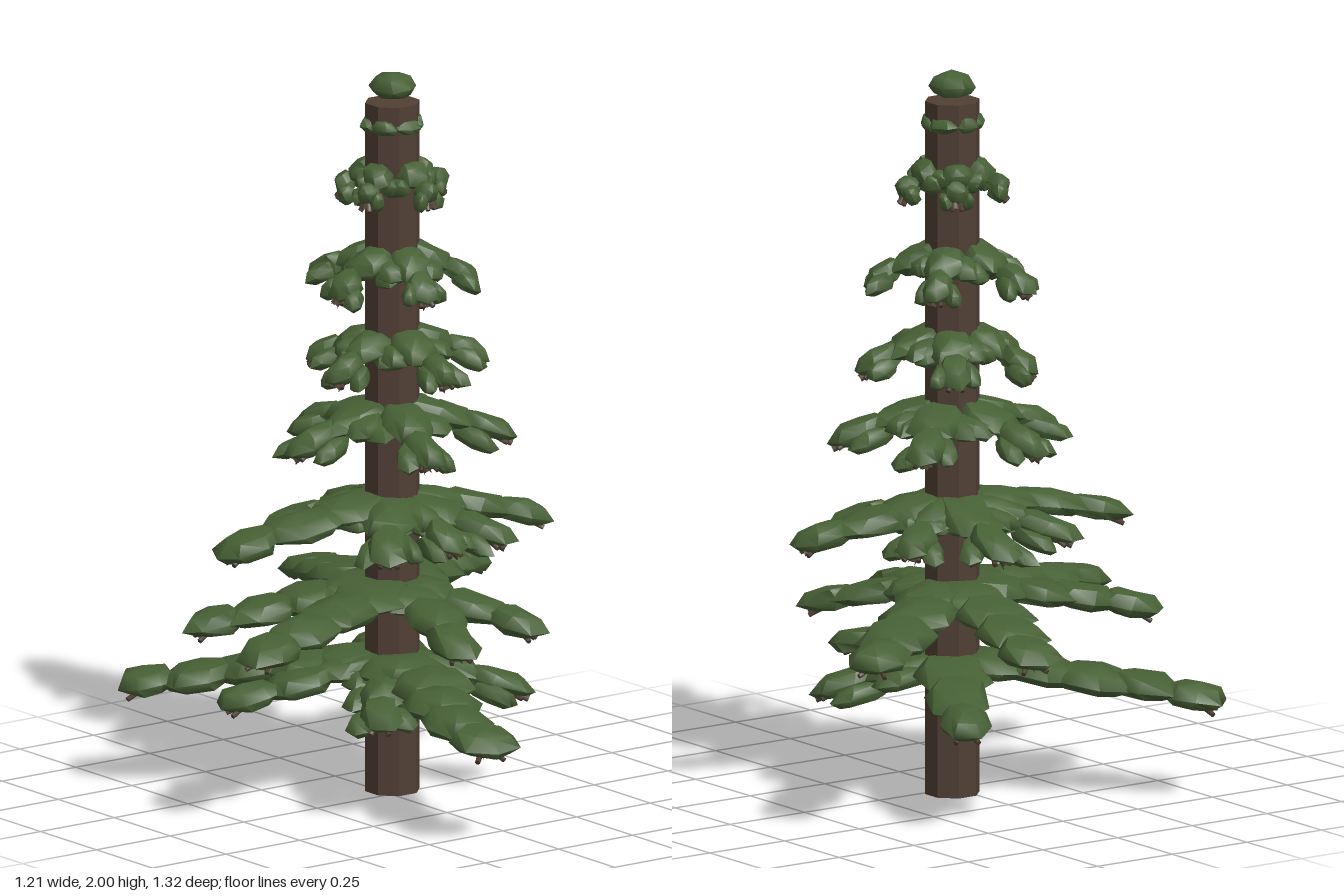
import * as THREE from 'three';
import { toCreasedNormals } from 'three/addons/utils/BufferGeometryUtils.js';

const CX = 0.035, CZ = -0.04; // trunk axis

// Seeded random numbers
function makeRandom(seed) {
  return () => {
    seed = (seed * 16807) % 2147483647;
    return seed / 2147483647;
  };
}

// Faceted clump of needles, unit size, flared towards +z, irregular by a hash of each vertex
function makeClump(seed) {
  const profile = [[0, -0.85], [0.7, -0.7], [1, -0.1], [0.65, 0.65], [0, 0.9]]
    .map(([r, y]) => new THREE.Vector2(r, y));
  const geo = new THREE.LatheGeometry(profile, 7, seed);
  const pos = geo.attributes.position;
  const hash = (x, y, z, k) => {
    const s = Math.sin(Math.round(x * 100) * 1.29 + Math.round(y * 100) * 7.82 +
      Math.round(z * 100) * 3.71 + seed * 9 + k) * 437.58;
    return s - Math.floor(s) - 0.5;
  };
  for (let i = 0; i < pos.count; i++) {
    const x = pos.getX(i), y = pos.getY(i), z = pos.getZ(i);
    pos.setXYZ(i, x * (1 + 0.12 * z) + 0.25 * hash(x, y, z, 1),
      y + 0.2 * hash(x, y, z, 2), z + 0.25 * hash(x, y, z, 3));
  }
  return toCreasedNormals(geo, 0.9);
}

export function createModel() {
  const tree = new THREE.Group();
  tree.name = 'pineTree';
  const bark = new THREE.MeshStandardMaterial({ color: 0x503f34 });
  bark.name = 'bark';
  const needles = new THREE.MeshStandardMaterial({ color: 0x476035 });
  needles.name = 'needles';
  const clumps = [1, 2, 3, 4].map(makeClump);
  const rand = makeRandom(4711);
  const twigGeo = new THREE.CylinderGeometry(0.007, 0.01, 1, 5);

  const addClump = (parent, center, along, w, h, l) => {
    const m = new THREE.Mesh(clumps[Math.floor(rand() * 4)], needles);
    m.name = 'needleClump';
    m.position.copy(center);
    m.lookAt(center.clone().add(along));
    m.rotateY((rand() - 0.5) * 0.4);
    m.scale.set(w, h, l);
    parent.add(m);
  };

  const addTwig = (parent, a, b) => {
    const m = new THREE.Mesh(twigGeo, bark);
    m.name = 'twig';
    const d = b.clone().sub(a);
    m.position.copy(a).addScaledVector(d, 0.5);
    m.scale.y = d.length();
    m.quaternion.setFromUnitVectors(new THREE.Vector3(0, 1, 0), d.normalize());
    parent.add(m);
  };

  // Drooping branch: overlapping clumps over a thin limb
  function addBranch(parent, y, drop, tipX, tipZ) {
    const dx = tipX - CX, dz = tipZ - CZ, len = Math.hypot(dx, dz);
    const dir = new THREE.Vector3(dx / len, 0, dz / len);
    const side = new THREE.Vector3(-dir.z, 0, dir.x);
    const n = Math.max(2, Math.round(len / 0.16));
    const step = (len - 0.06) / n;
    const at = (r) => new THREE.Vector3(CX, y - drop * Math.pow(r / len, 1.3), CZ).addScaledVector(dir, r);
    const branch = new THREE.Group();
    branch.name = 'branch';
    const wide = 0.028 + 0.16 * len;
    for (let i = 0; i < n; i++) {
      const r = 0.06 + step * (i + 0.38);
      const along = at(r + 0.03).sub(at(r - 0.03));
      const w = wide * (1 - 0.32 * i / (n - 1));
      const c = at(r).addScaledVector(side, (rand() - 0.5) * 0.3 * w);
      addClump(branch, c, along, w, 0.034 + 0.01 * len, step * (i === n - 1 ? 0.7 : 0.85));
      for (const s of [-1, 1]) {
        // Short branches carry small side clumps on both flanks
        if (len < 0.42) {
          const flank = c.clone().addScaledVector(side, s * w * 0.8).addScaledVector(dir, (rand() - 0.6) * step * 0.4);
          flank.y -= 0.01 + 0.02 * rand();
          addClump(branch, flank, along.clone().addScaledVector(side, s * 0.03), w * 0.62, 0.03, step * 0.55);
        }
        // Bare twig ends showing below the tip
        if (i === n - 1) {
          const start = c.clone();
          start.y -= 0.012;
          const end = start.clone().addScaledVector(dir, step * 0.4).addScaledVector(side, s * w * 0.4);
          end.y -= 0.034;
          addTwig(branch, start, end);
        }
      }
    }
    const low = (r, down) => at(r).add(new THREE.Vector3(0, -down, 0));
    const curve = new THREE.CatmullRomCurve3([low(0.04, 0.005), low(len * 0.5, 0.005), low(len * 0.95, 0.025)]);
    const limb = new THREE.Mesh(new THREE.TubeGeometry(curve, 5, 0.011, 5), bark);
    limb.name = 'limb';
    branch.add(limb);
    parent.add(branch);
  }

  // Trunk
  const trunkGeo = new THREE.CylinderGeometry(0.076, 0.076, 1.92, 8);
  trunkGeo.rotateY(Math.PI / 8);
  const trunk = new THREE.Mesh(toCreasedNormals(trunkGeo, 0.4), bark);
  trunk.name = 'trunk';
  trunk.position.set(CX, 0.96, CZ);
  tree.add(trunk);

  // Wide lower tiers, with the tip (x, z) of each branch
  const lower = [
    { y: 0.37, drop: 0.095, tips: [[-0.16, 0.66], [-0.51, -0.55], [0.31, -0.51], [0.34, 0.2], [-0.24, 0.27], [-0.44, -0.2]] },
    { y: 0.575, drop: 0.09, tips: [[0.18, -0.65], [0.59, -0.42], [-0.59, 0.13], [-0.49, -0.27], [0.26, 0.34], [-0.07, 0.44]] },
    { y: 0.815, drop: 0.095, tips: [[-0.51, -0.11], [0.48, 0.07], [0.22, 0.25], [-0.2, 0.26], [0.12, -0.42], [0.31, -0.22], [-0.2, -0.3], [0.05, 0.26]] },
  ];
  // Short upper tiers, with branches spread around the trunk
  const upper = [
    { y: 1.078, drop: 0.1, reach: 0.335, turn: 0.63 },
    { y: 1.283, drop: 0.1, reach: 0.26, turn: 0.31 },
    { y: 1.52, drop: 0.11, reach: 0.245, turn: 0.5 },
    { y: 1.77, drop: 0.105, reach: 0.16, turn: 0.2 },
  ];
  for (const t of upper) {
    t.tips = Array.from({ length: 5 }, (_, i) => {
      const a = t.turn + i * Math.PI * 0.4 + (rand() - 0.5) * 0.2;
      const r = t.reach * (0.94 + 0.12 * rand());
      return [CX + Math.cos(a) * r, CZ + Math.sin(a) * r];
    });
  }
  for (const t of [...lower, ...upper]) {
    const tier = new THREE.Group();
    tier.name = 'branchTier';
    for (const [x, z] of t.tips) addBranch(tier, t.y, t.drop, x, z);
    tree.add(tier);
  }

  // Tight ring of buds near the top
  const ring = new THREE.Group();
  ring.name = 'budRing';
  for (let i = 0; i < 6; i++) {
    const a = i * Math.PI / 3 + 0.5;
    const dir = new THREE.Vector3(Math.cos(a), 0, Math.sin(a));
    const c = new THREE.Vector3(CX, 1.86, CZ).addScaledVector(dir, 0.057);
    addClump(ring, c, dir, 0.045, 0.026, 0.032);
  }
  tree.add(ring);

  // Crown
  const crown = new THREE.Mesh(clumps[1], needles);
  crown.name = 'crown';
  crown.position.set(CX, 1.965, CZ);
  crown.scale.set(0.07, 0.038, 0.07);
  tree.add(crown);

  return tree;
}
